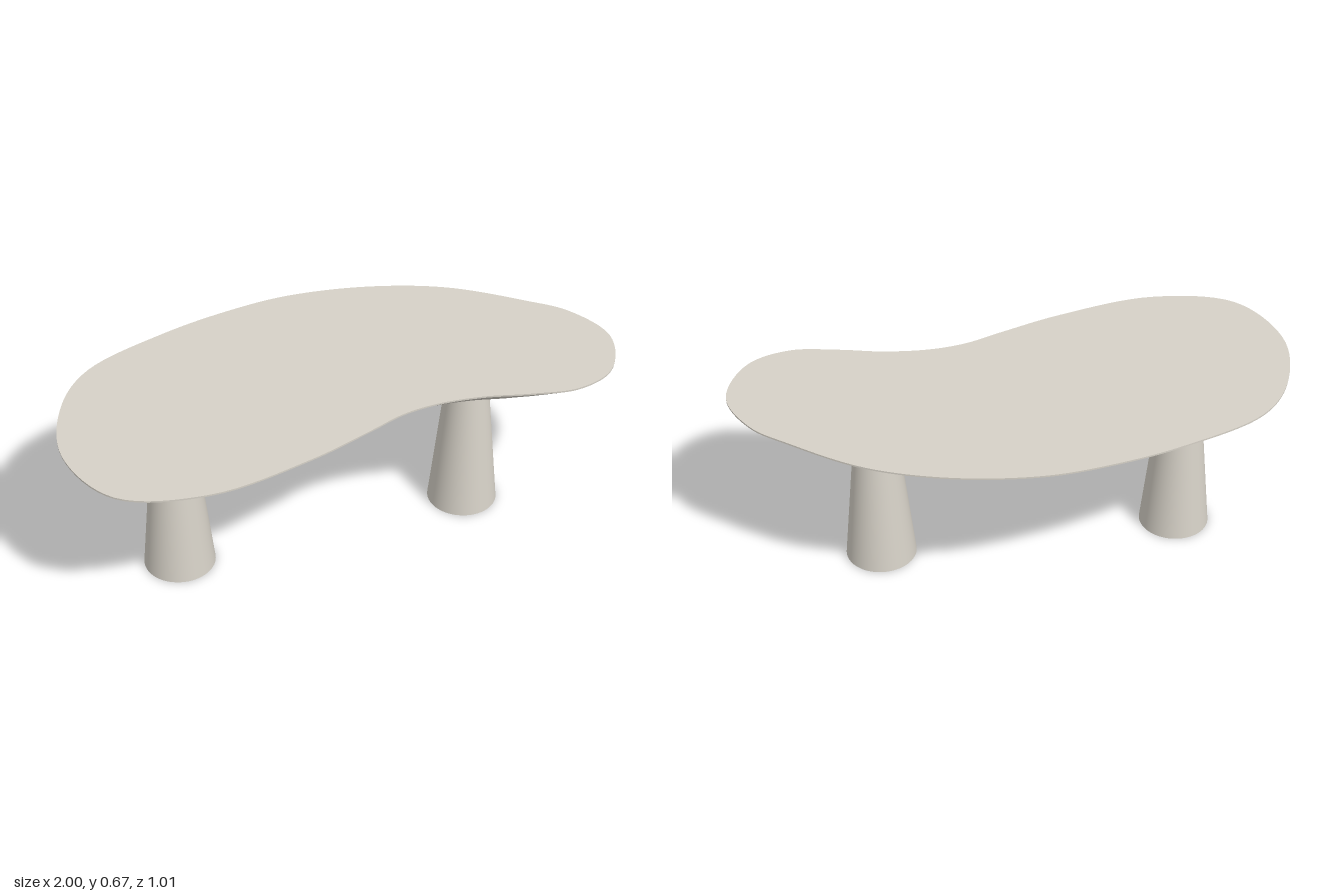
import * as THREE from 'three';

const TOP = 0.669, RIM = 0.663, UNDER = 0.628;

// Control points (x, z) of the kidney-shaped outline
const OUTLINE = [
  [0, -0.51], [0.3, -0.468], [0.57, -0.365], [0.81, -0.185], [0.93, -0.07], [1, 0.12],
  [0.91, 0.315], [0.76, 0.375], [0.59, 0.35], [0.43, 0.31], [0.27, 0.295], [0.14, 0.31],
  [0, 0.36], [-0.24, 0.44], [-0.6, 0.502], [-0.89, 0.415], [-1, 0.15], [-0.935, -0.13],
  [-0.8, -0.3], [-0.5, -0.425], [-0.24, -0.487],
];

// Smooth-shaded strip between two closed rings
function band(lower, yLower, upper, yUpper) {
  const n = lower.length, pos = [], index = [];
  for (let i = 0; i < n; i++) {
    pos.push(lower[i].x, yLower, lower[i].y, upper[i].x, yUpper, upper[i].y);
    const a = 2 * i, c = 2 * ((i + 1) % n);
    index.push(a, a + 1, c, c, a + 1, c + 1);
  }
  const g = new THREE.BufferGeometry();
  g.setAttribute('position', new THREE.Float32BufferAttribute(pos, 3));
  g.setIndex(index);
  g.computeVertexNormals();
  return g;
}

// Flat face filling a ring, facing up or down
function cap(ring, y, up) {
  const s = up ? -1 : 1;
  const g = new THREE.ShapeGeometry(new THREE.Shape(ring.map(p => new THREE.Vector2(p.x, s * p.y))));
  return g.rotateX(s * Math.PI / 2).translate(0, y, 0);
}

export function createModel() {
  const model = new THREE.Group();
  model.name = 'table';
  const stone = new THREE.MeshStandardMaterial({ color: 0xd6d1c7 });
  stone.name = 'warm grey';

  const add = (parent, name, geometry) => {
    const mesh = new THREE.Mesh(geometry, stone);
    mesh.name = name;
    parent.add(mesh);
    return mesh;
  };

  // Tabletop: thin upright rim above a wide sloping underside
  const curve = new THREE.CatmullRomCurve3(OUTLINE.map(([x, z]) => new THREE.Vector3(x, 0, z)), true);
  const outer = curve.getPoints(168).slice(0, -1).map(p => new THREE.Vector2(p.x, p.z));
  const inner = outer.map(p => new THREE.Vector2(p.x * 0.9225 - 0.005, p.y * 0.842 + 0.003));
  const tabletop = new THREE.Group();
  tabletop.name = 'tabletop';
  model.add(tabletop);
  add(tabletop, 'topSurface', cap(outer, TOP, true));
  add(tabletop, 'rim', band(outer, RIM, outer, TOP));
  add(tabletop, 'slopedEdge', band(inner, UNDER, outer, RIM));
  add(tabletop, 'underside', cap(inner, UNDER, false));

  // Two tapered round legs
  for (const [name, x] of [['rightLeg', -0.595], ['leftLeg', 0.5]]) {
    add(model, name, new THREE.CylinderGeometry(0.066, 0.128, UNDER, 64)).position.set(x, UNDER / 2, 0.018);
  }
  return model;
}
